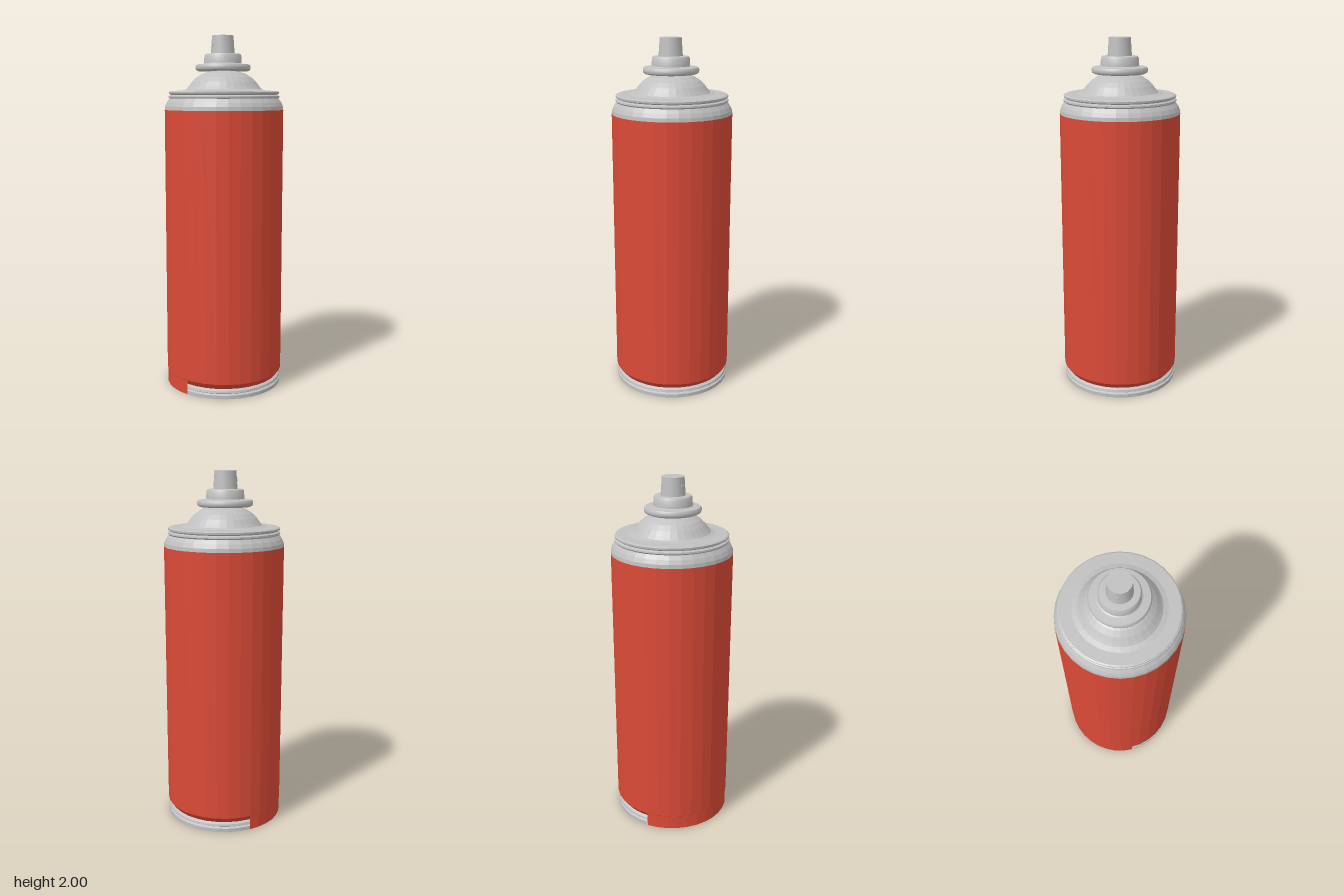
import * as THREE from 'three';
import { toCreasedNormals } from 'three/addons/utils/BufferGeometryUtils.js';

const grey = new THREE.MeshStandardMaterial({ color: 0xc0c0c0 });
grey.name = 'bare metal grey';
const red = new THREE.MeshStandardMaterial({ color: 0xdb4a37 });
red.name = 'paint red';

const rad = THREE.MathUtils.degToRad;

// Turned part from [radius, height] pairs listed bottom to top; crease 0 gives flat facets
function turned(name, profile, material, { sides = 32, crease = 30, x = 0, start = 0, arc = 360 } = {}) {
  const points = profile.map(([r, y]) => new THREE.Vector2(r, y));
  let geometry = new THREE.LatheGeometry(points, sides, rad(start), rad(arc));
  if (crease > 0) geometry = toCreasedNormals(geometry, rad(crease));
  else {
    geometry = geometry.toNonIndexed();
    geometry.computeVertexNormals();
  }
  const mesh = new THREE.Mesh(geometry, material);
  mesh.name = name;
  mesh.position.x = x;
  return mesh;
}

export function createModel() {
  const can = new THREE.Group();
  can.name = 'sprayCan';

  // Base ring with a closed underside
  can.add(turned('baseRing', [
    [0, 0], [0.33, 0], [0.33, 0.02], [0.318, 0.026], [0.328, 0.032],
    [0.325, 0.044], [0.31, 0.052], [0.3, 0.055],
  ], grey, { crease: 0 }));

  // Painted body with a tapered foot
  can.add(turned('paintedBody', [
    [0.305, 0.045], [0.315, 0.058], [0.335, 0.085], [0.335, 1.59],
  ], red, { crease: 0 }));

  // Paint carried down over one side of the base ring
  can.add(turned('paintRun', [
    [0.328, 0], [0.333, 0.001], [0.333, 0.085],
  ], red, { sides: 10, crease: 0, start: -169, arc: 104 }));

  // Shoulder and rolled seam
  can.add(turned('shoulder', [
    [0.335, 1.59], [0.333, 1.61], [0.323, 1.632], [0.305, 1.657], [0.295, 1.66],
  ], grey, { crease: 0 }));
  can.add(turned('rolledSeam', [
    [0.29, 1.65], [0.306, 1.652], [0.313, 1.66], [0.312, 1.668], [0.3, 1.674],
    [0.31, 1.68], [0.311, 1.69], [0.303, 1.695], [0.24, 1.697],
  ], grey, { crease: 0 }));

  // Domed top
  can.add(turned('dome', [
    [0.24, 1.697], [0.213, 1.705], [0.2, 1.72], [0.18, 1.746], [0.155, 1.77],
    [0.12, 1.792], [0.085, 1.803], [0.085, 1.81],
  ], grey, { crease: 0 }));

  // Valve cup
  can.add(turned('valveCup', [
    [0, 1.805], [0.14, 1.805], [0.152, 1.811], [0.155, 1.82], [0.155, 1.832],
    [0.149, 1.841], [0.105, 1.845],
  ], grey, { x: -0.006, crease: 45 }));
  can.add(turned('valveCollar', [
    [0.12, 1.84], [0.106, 1.848], [0.104, 1.89], [0.098, 1.899], [0.064, 1.902], [0, 1.902],
  ], grey, { x: -0.007, crease: 45 }));

  // Push nozzle and its outlet
  can.add(turned('nozzle', [
    [0.067, 1.898], [0.06, 2], [0, 2],
  ], grey, { x: -0.008 }));
  const outlet = new THREE.Mesh(new THREE.CylinderGeometry(0.011, 0.011, 0.008, 16), grey);
  outlet.name = 'nozzleOutlet';
  outlet.rotation.z = Math.PI / 2;
  outlet.position.set(-0.07, 1.95, 0);
  can.add(outlet);

  return can;
}
